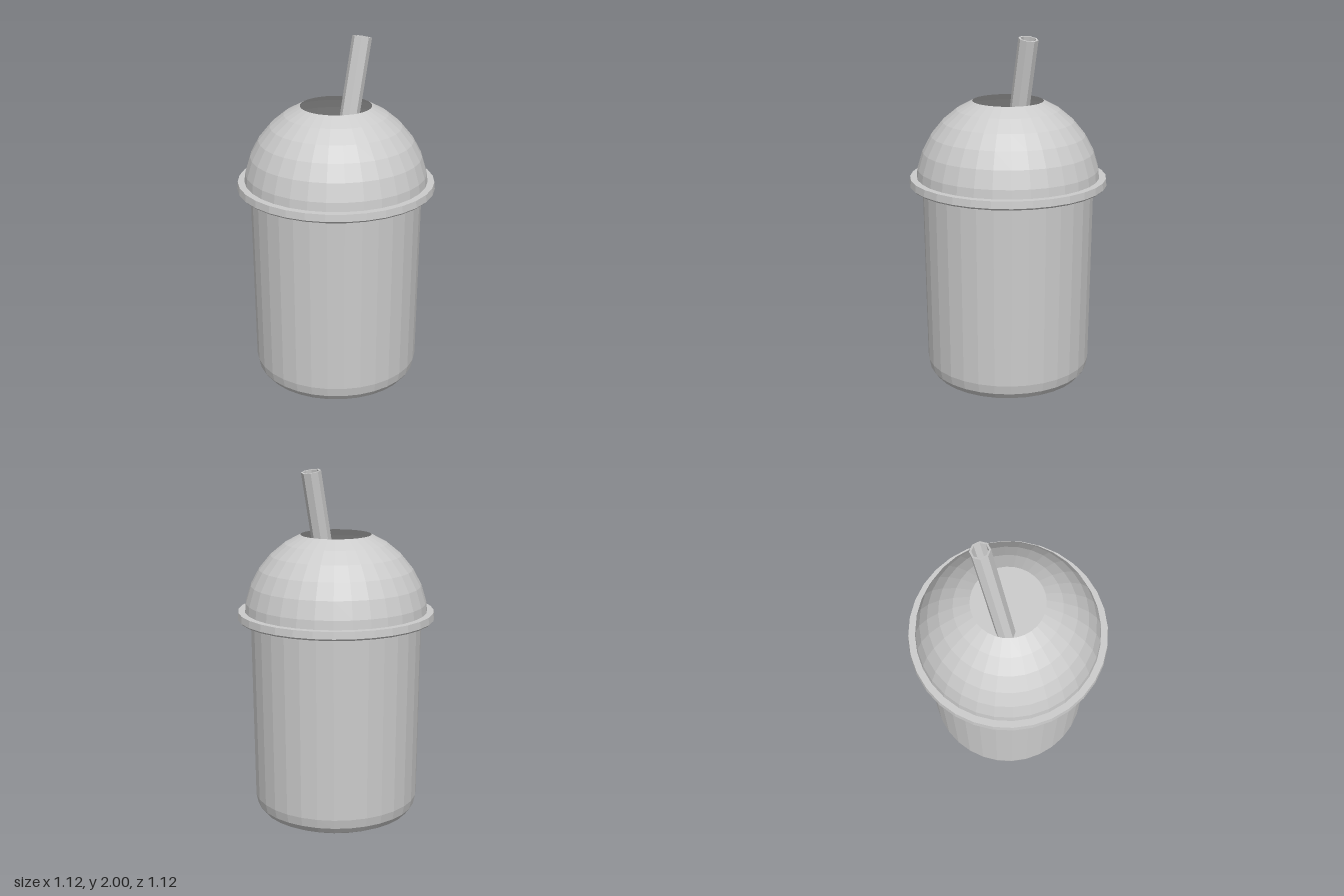
import * as THREE from 'three';

const SIDES = 32;
const material = new THREE.MeshStandardMaterial({ color: 0xcccccc, flatShading: true, side: THREE.DoubleSide });

// Revolves [radius, height] pairs, listed so that the outside runs upward
function lathe(name, profile, sides = SIDES) {
  const points = profile.map(([r, y]) => new THREE.Vector2(r, y));
  const mesh = new THREE.Mesh(new THREE.LatheGeometry(points, sides), material);
  mesh.name = name;
  return mesh;
}

export function createModel() {
  const group = new THREE.Group();
  group.name = 'lidded cup with straw';

  // Tapered cup with a rounded foot and a small lip at the mouth
  group.add(lathe('cup', [
    [0, 0], [0.395, 0], [0.435, 0.02], [0.463, 0.057], [0.474, 0.11],
    [0.486, 1.135], [0.515, 1.135], [0.515, 1.155],
  ]));

  // Surface of the drink, seen through the lid opening
  group.add(lathe('drink', [[0.5, 1.155], [0, 1.155]]));

  // Lid rim, a flat ring around the mouth
  group.add(lathe('lidRim', [
    [0.5, 1.15], [0.55, 1.15], [0.56, 1.16], [0.556, 1.2], [0.515, 1.2],
  ]));

  // Open dome: part of a sphere from its equator up to the opening
  const dome = [];
  for (let i = 0; i <= 6; i++) {
    const a = (i / 16) * Math.PI;
    dome.push([0.523 * Math.cos(a), 1.147 + 0.523 * Math.sin(a)]);
  }
  group.add(lathe('domeLid', dome));

  // Hollow eight-sided straw leaning backward, its foot just under the drink
  const length = 0.88, outer = 0.055, inner = 0.044;
  const straw = lathe('straw', [[outer, -length], [outer, 0], [inner, 0], [inner, -length]], 8);
  straw.rotation.x = -0.198;
  straw.position.set(0, 1.989, -0.186);
  group.add(straw);

  return group;
}
